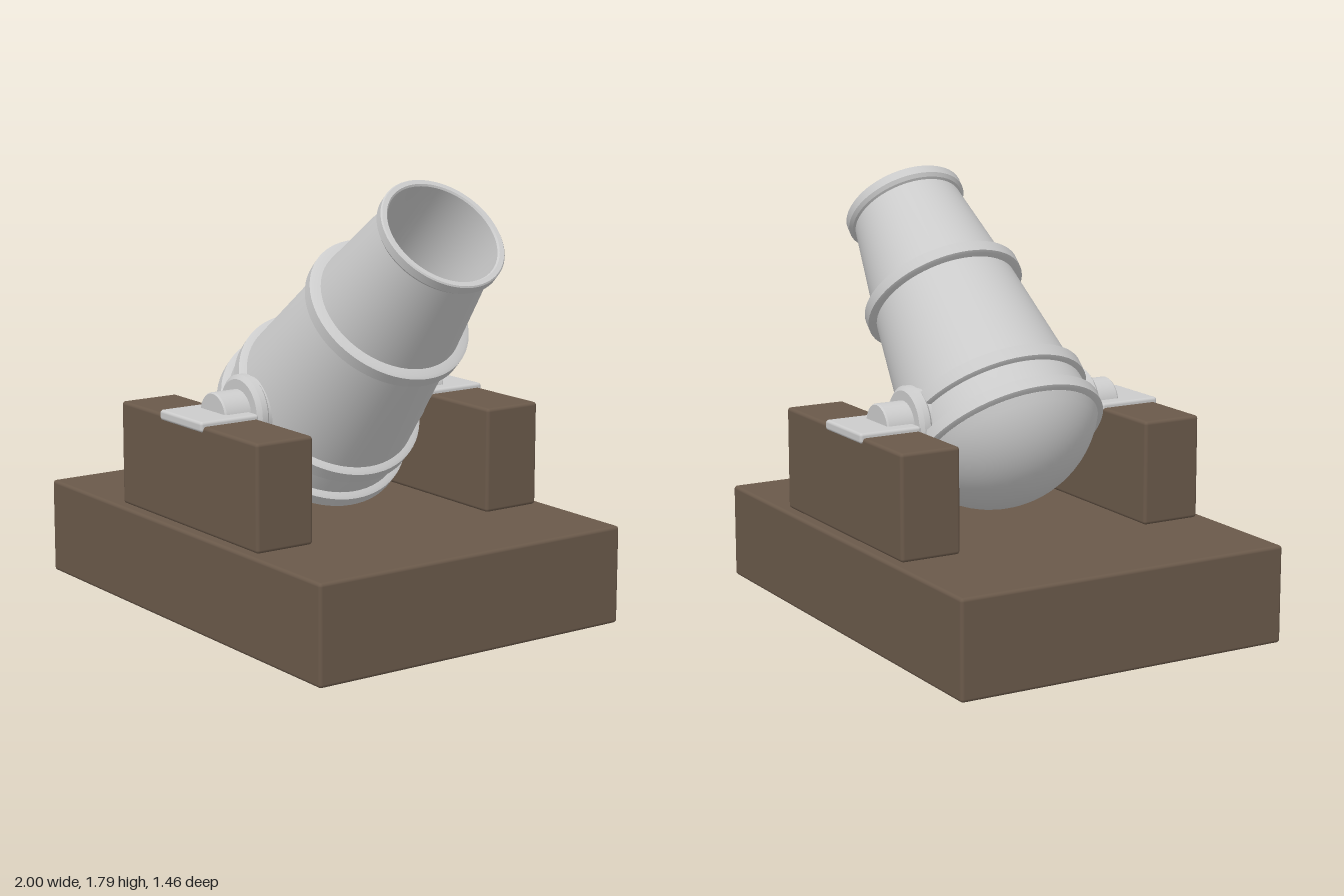
import * as THREE from 'three';
import { toCreasedNormals } from 'three/addons/utils/BufferGeometryUtils.js';
import { RoundedBoxGeometry } from 'three/addons/geometries/RoundedBoxGeometry.js';

const metal = new THREE.MeshStandardMaterial({ color: 0xcccccc });
const wood = new THREE.MeshStandardMaterial({ color: 0x6a594a });

const PIVOT_Y = 0.83;

function add(parent, name, geometry, material, x = 0, y = 0, z = 0) {
  const mesh = new THREE.Mesh(geometry, material);
  mesh.name = name;
  mesh.position.set(x, y, z);
  parent.add(mesh);
  return mesh;
}

// Turned part from [radius, height] pairs, with sharp edges kept
function turned(points, segments = 72) {
  const profile = points.map(([r, h]) => new THREE.Vector2(r, h));
  return toCreasedNormals(new THREE.LatheGeometry(profile, segments), 0.4);
}

// Reinforcing band with sloped shoulders
function band(from, to, radius, inner) {
  const slope = 0.012;
  return turned([
    [inner, from - slope], [radius - 0.012, from - slope / 2], [radius, from],
    [radius, to], [radius - 0.012, to + slope / 2], [inner, to + slope],
  ]);
}

function createBarrel() {
  const barrel = new THREE.Group();
  barrel.name = 'barrel';

  // Rounded breech, tapering tube, muzzle lip, then the bore back down to its floor
  const points = [];
  const capRadius = 0.45, capCentre = 0.06, capAngle = 1.05;
  for (let i = 0; i <= 12; i++) {
    const a = (capAngle * i) / 12;
    points.push([capRadius * Math.sin(a), capCentre - capRadius * Math.cos(a)]);
  }
  points.push(
    [0.385, -0.03], [0.375, 0.06], [0.308, 0.6], [0.24, 1.04],
    [0.25, 1.045], [0.262, 1.06], [0.262, 1.095], [0.257, 1.1],
    [0.238, 1.1], [0.232, 1.093], [0.225, 0.3],
    [0.2, 0.2], [0.14, 0.13], [0, 0.1],
  );
  add(barrel, 'barrelTube', turned(points), metal);

  // Bands around the barrel
  add(barrel, 'breechBand', band(-0.155, -0.107, 0.417, 0.37), metal);
  add(barrel, 'rearBand', band(0.0, 0.054, 0.405, 0.36), metal);
  add(barrel, 'middleBand', band(0.578, 0.625, 0.345, 0.29), metal);

  barrel.position.y = PIVOT_Y;
  barrel.rotation.z = -Math.PI / 4;
  return barrel;
}

// One side's pivot pin, its collar, the wooden cheek and the cap plate
function createSide(side) {
  const group = new THREE.Group();
  group.name = side > 0 ? 'frontMount' : 'backMount';

  add(group, 'cheek', new RoundedBoxGeometry(1.0, 0.43, 0.26, 3, 0.014), wood, 0.03, 0.615, side * 0.56);
  add(group, 'capPlate', new RoundedBoxGeometry(0.31, 0.042, 0.272, 3, 0.012), metal, 0, 0.828, side * 0.564);

  const pin = turned([[0, 0.2], [0.095, 0.2], [0.095, 0.54], [0.09, 0.547], [0, 0.547]], 48);
  const collar = turned([
    [0, 0.3], [0.14, 0.3], [0.14, 0.372], [0.153, 0.384], [0.153, 0.41], [0.135, 0.426], [0, 0.426],
  ], 48);
  for (const [name, geometry] of [['pivotPin', pin], ['pivotCollar', collar]]) {
    add(group, name, geometry, metal, 0, PIVOT_Y, 0).rotation.x = (side * Math.PI) / 2;
  }
  return group;
}

export function createModel() {
  const model = new THREE.Group();
  model.name = 'mortar';
  add(model, 'base', new RoundedBoxGeometry(2, 0.4, 1.46, 3, 0.014), wood, 0, 0.2, 0);
  model.add(createBarrel());
  for (const side of [1, -1]) model.add(createSide(side));
  return model;
}
